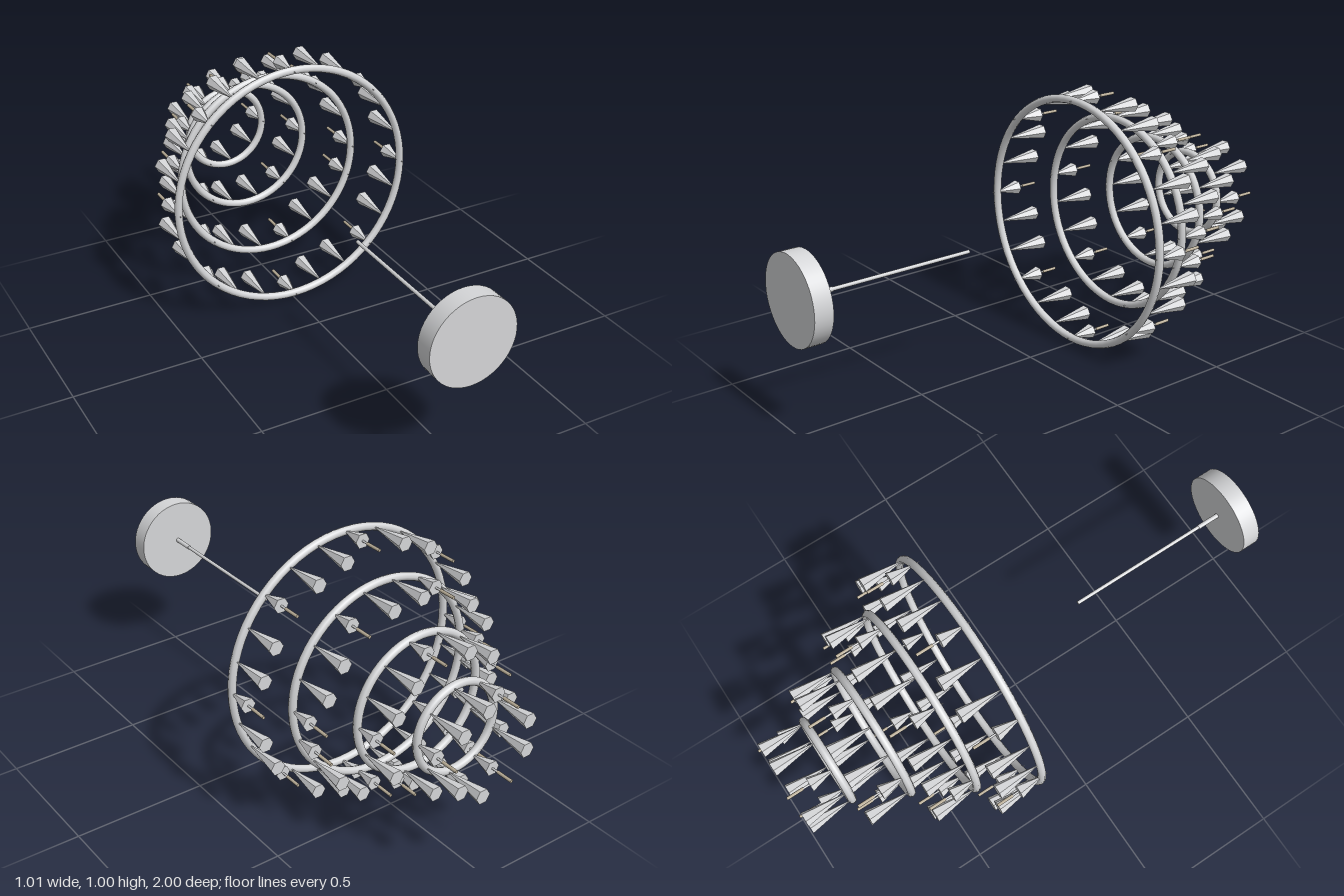
import * as THREE from 'three';

export function createModel() {
  const model = new THREE.Group();
  const steel = new THREE.MeshStandardMaterial({ color: 0xd5d6d8 });
  steel.name = 'light grey metal';
  const brass = new THREE.MeshStandardMaterial({ color: 0xbcb09a });
  brass.name = 'dull brass';
  const CY = 0.503; // height of the common axis

  function add(parent, name, geometry, material, x = 0, y = 0, z = 0) {
    const mesh = new THREE.Mesh(geometry, material);
    mesh.name = name;
    mesh.position.set(x, y, z);
    parent.add(mesh);
    return mesh;
  }

  // Cylinder along z; r0 is the radius at z0 (front), r1 at z1 (back)
  function rodZ(r0, r1, z0, z1, sides) {
    const g = new THREE.CylinderGeometry(r0, r1, z0 - z1, sides);
    g.rotateX(Math.PI / 2);
    g.translate(0, 0, (z0 + z1) / 2);
    return g;
  }

  // Six-sided faceted cone with its tip to the front and corners sideways
  function spike(z0, z1) {
    const g = rodZ(0, 0.029, z0, z1, 6).rotateZ(Math.PI / 2).toNonIndexed();
    g.computeVertexNormals();
    return g;
  }

  // Handle: disc and stepped rod
  const handle = new THREE.Group();
  handle.name = 'handle';
  handle.position.y = CY;
  add(handle, 'handleDisc', rodZ(0.165, 0.165, 1, 0.93, 48), steel);
  add(handle, 'handleCollar', rodZ(0.009, 0.009, 0.93, 0.84, 12), steel);
  add(handle, 'handleRod', rodZ(0.007, 0.007, 0.84, 0.28, 12), steel);
  model.add(handle);

  // Shared spike parts, measured from the plane of the ring
  const longCone = spike(0, -0.178);
  const shortCone = spike(0.005, -0.1);
  const needle = rodZ(0.001, 0.005, 0.024, -0.02, 8);
  const neck = rodZ(0.004, 0.004, -0.095, -0.13, 8);
  const tail = rodZ(0.006, 0.006, -0.125, -0.19, 8);

  // Rings shrink towards the back; every third spike is a short one with a pin
  const rings = [
    { radius: 0.476, z: -0.205, count: 24 },
    { radius: 0.373, z: -0.415, count: 19 },
    { radius: 0.26, z: -0.62, count: 14 },
    { radius: 0.166, z: -0.81, count: 9 },
  ];
  rings.forEach(({ radius, z, count }, n) => {
    const tier = new THREE.Group();
    tier.name = `tier${n + 1}`;
    tier.position.set(0, CY, z);
    add(tier, 'ring', new THREE.TorusGeometry(radius, 0.0155, 8, 72), steel);
    for (let i = 0; i < count; i++) {
      const a = (i / count) * Math.PI * 2;
      const x = radius * Math.cos(a), y = radius * Math.sin(a);
      if (i % 3) {
        add(tier, 'longSpike', longCone, steel, x, y);
      } else {
        add(tier, 'shortSpike', shortCone, steel, x, y);
        add(tier, 'spikeNeedle', needle, steel, x, y);
        add(tier, 'spikeNeck', neck, steel, x, y);
        add(tier, 'spikeTail', tail, brass, x, y);
      }
    }
    model.add(tier);
  });
  return model;
}
